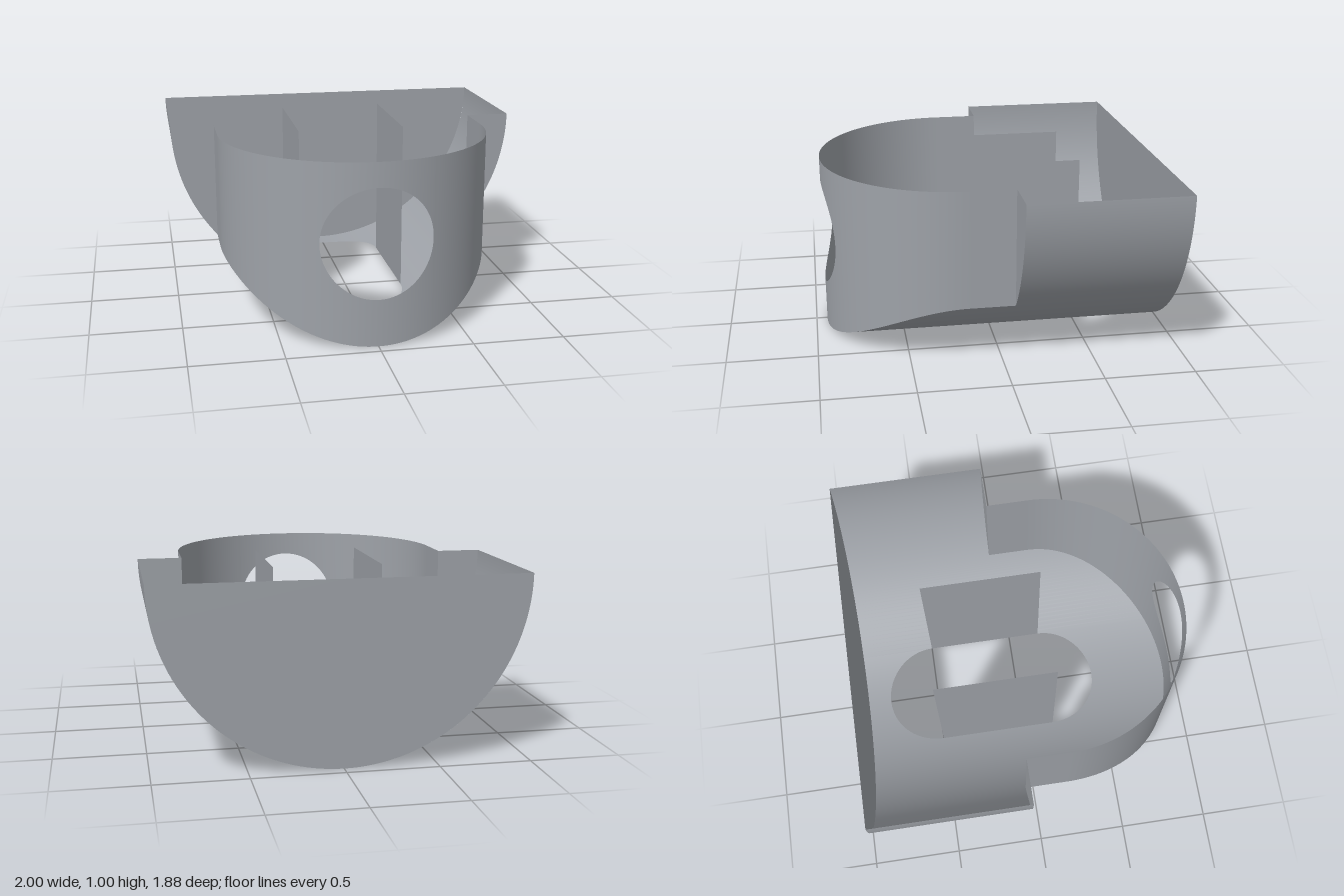
import * as THREE from 'three';

const BACK = -0.9375, STEP = -0.06; // back wall and shoulder planes
const R = 0.755, ZC = 0.1825;       // rounded front wall
const SLOT = 0.3, SLOT_BACK = -0.5, SLOT_FRONT = ZC; // floor slot
const HOLE = 0.302, HOLE_Y = 0.563; // round hole in the front wall

const floorY = x => 1 - Math.sqrt(Math.max(0, 1 - x * x));
const mix = THREE.MathUtils.lerp;

export function createModel() {
  const group = new THREE.Group();
  const grey = new THREE.MeshStandardMaterial({ color: 0x9ea2a8, side: THREE.DoubleSide });
  grey.name = 'grey';

  // Surface patch from a rule (u, v) -> [x, y, z]; it faces along u cross v
  function patch(name, rule, nu, nv = 1) {
    const geo = new THREE.PlaneGeometry(1, 1, nu, nv);
    const p = geo.attributes.position, uv = geo.attributes.uv;
    for (let i = 0; i < p.count; i++) p.setXYZ(i, ...rule(uv.getX(i), uv.getY(i)));
    geo.computeVertexNormals();
    const mesh = new THREE.Mesh(geo, grey);
    mesh.name = name;
    group.add(mesh);
    return mesh;
  }

  // Half-round floor: strips across x running between two z limits
  function floor(name, t0, t1, xOf, zLow, zHigh, n) {
    const mesh = patch(name, (u, v) => {
      const t = mix(t0, t1, u), x = xOf(t);
      return [x, floorY(x), mix(zLow(t), zHigh(t), v)];
    }, n);
    const p = mesh.geometry.attributes.position, nor = mesh.geometry.attributes.normal;
    for (let i = 0; i < p.count; i++) nor.setXYZ(i, p.getX(i), p.getY(i) - 1, 0);
  }
  const H = Math.PI / 2;
  const slotX = t => SLOT * Math.sin(t);
  const frontZ = x => ZC + Math.sqrt(Math.max(0, R * R - x * x));
  floor('floorBehindSlot', -H, H, slotX, () => BACK, t => SLOT_BACK - SLOT * Math.cos(t), 40);
  floor('floorBeforeSlot', -H, H, slotX, t => SLOT_FRONT + SLOT * Math.cos(t), t => frontZ(slotX(t)), 40);
  const tSlot = Math.asin(SLOT / R), tEdge = Math.asin(R);
  for (const s of [-1, 1]) {
    const range = (a, b) => (s > 0 ? [a, b] : [-b, -a]);
    const side = s > 0 ? 'left' : 'right';
    floor(side + 'Floor', ...range(tSlot, H), t => R * Math.sin(t), () => BACK, t => ZC + R * Math.cos(t), 32);
    floor(side + 'OuterFloor', ...range(tEdge, H), Math.sin, () => BACK, () => STEP, 20);

    // Shoulder face
    const [a, b] = range(tEdge, H);
    patch(side + 'Shoulder', (u, v) => {
      const x = Math.sin(mix(a, b, u));
      return [x, mix(floorY(x), 1, v), STEP];
    }, 20);

    // Straight side wall
    patch(side + 'SideWall', (u, v) =>
      [s * R, mix(floorY(R), 1, v), s > 0 ? mix(ZC, STEP, u) : mix(STEP, ZC, u)], 1);

    // Curved front wall beside the hole
    const [c, d] = range(Math.asin(HOLE / R), H);
    patch(side + 'FrontWall', (u, v) => {
      const t = mix(c, d, u), x = R * Math.sin(t);
      return [x, mix(floorY(x), 1, v), ZC + R * Math.cos(t)];
    }, 32);

    // Upright plate along the slot
    patch(side + 'SlotPlate', (u, v) =>
      [s * SLOT, mix(floorY(SLOT), 1, v), s > 0 ? mix(SLOT_FRONT, SLOT_BACK, u) : mix(SLOT_BACK, SLOT_FRONT, u)], 1);
  }

  // Front wall under and over the round hole
  for (const s of [-1, 1]) {
    patch(s < 0 ? 'wallUnderHole' : 'wallOverHole', (u, v) => {
      const t = mix(-H, H, u), x = HOLE * Math.sin(t);
      const rim = HOLE_Y + s * HOLE * Math.cos(t);
      return [x, s < 0 ? mix(floorY(x), rim, v) : mix(rim, 1, v), frontZ(x)];
    }, 48);
  }

  // Half-round back wall
  const back = new THREE.Mesh(new THREE.CircleGeometry(1, 80, Math.PI, Math.PI), grey);
  back.name = 'backWall';
  back.rotation.y = Math.PI;
  back.position.set(0, 1, BACK);
  group.add(back);

  return group;
}
